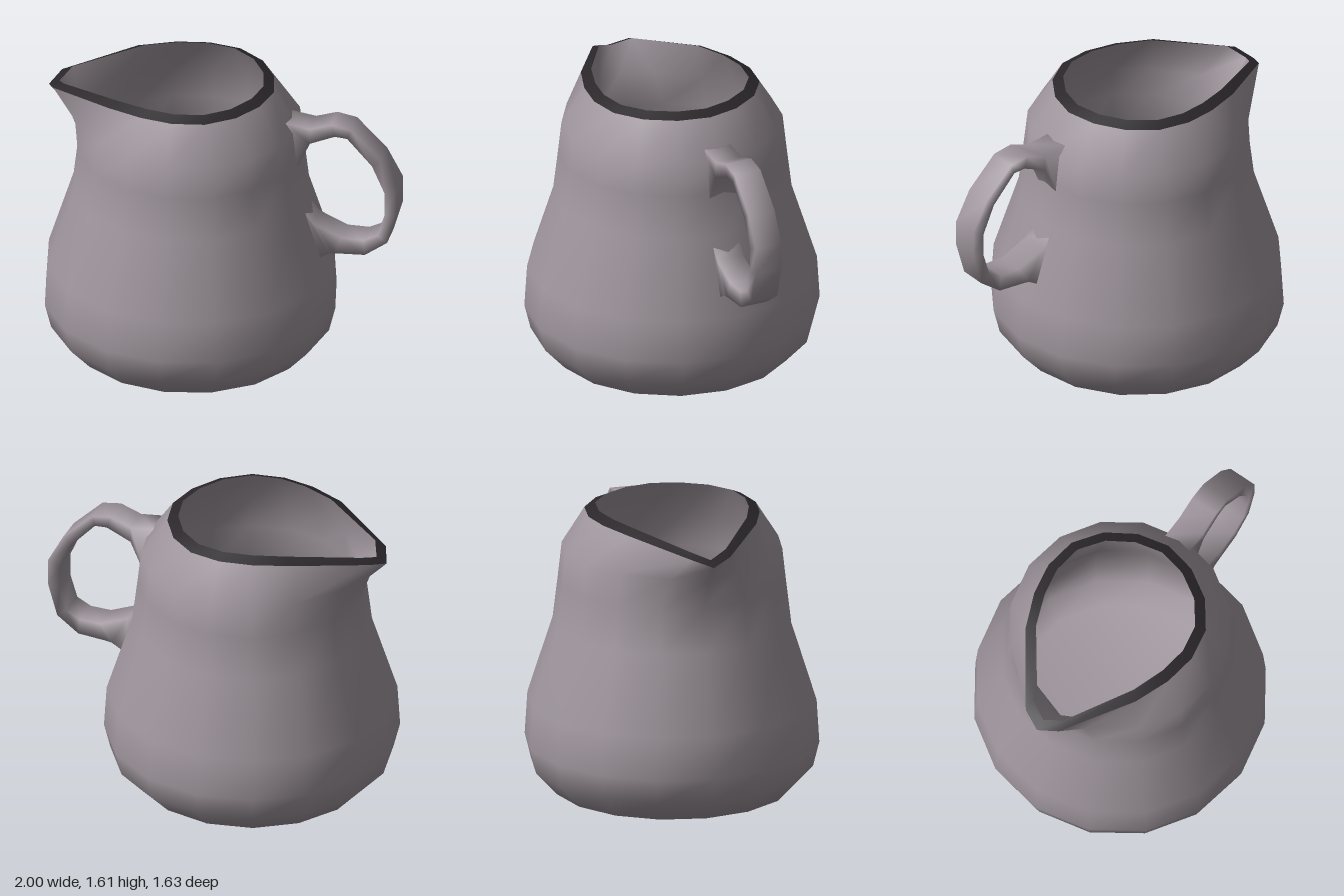
import * as THREE from 'three';

const SIDES = 16;
const CX = -0.18; // axis of the jug body

// Skin a list of equal-length closed rings of points
function loft(rings) {
  const n = rings[0].length;
  const index = [];
  for (let i = 0; i < rings.length - 1; i++) {
    for (let j = 0; j < n; j++) {
      const k = (j + 1) % n;
      const a = i * n + j, b = i * n + k;
      const c = a + n, d = b + n;
      index.push(a, c, b, b, c, d);
    }
  }
  const geo = new THREE.BufferGeometry();
  geo.setAttribute('position', new THREE.Float32BufferAttribute(rings.flat(2), 3));
  geo.setIndex(index);
  geo.computeVertexNormals();
  return geo;
}

function circle(r, y) {
  return Array.from({ length: SIDES }, (_, j) => {
    const a = (j / SIDES) * Math.PI * 2;
    return [CX + r * Math.cos(a), y, r * Math.sin(a)];
  });
}

// Mirror a half ring (right side round to the spout tip) across z = 0
function mirrorRing(half) {
  return [...half, ...half.slice(1, -1).reverse().map(([x, y, z]) => [x, y, -z])];
}

// Move a ring towards the axis by the wall thickness
function inset(ring, t, dy = 0) {
  return ring.map(([x, y, z]) => {
    const s = 1 - t / Math.hypot(x - CX, z);
    return [CX + (x - CX) * s, y + dy, z * s];
  });
}

export function createModel() {
  const group = new THREE.Group();
  const clay = new THREE.MeshStandardMaterial({ color: 0xa0979e });
  const dark = new THREE.MeshStandardMaterial({ color: 0x2a262a, side: THREE.DoubleSide });

  const add = (name, rings, material) => {
    const mesh = new THREE.Mesh(loft(rings), material);
    mesh.name = name;
    group.add(mesh);
  };

  // Body rings: radius, height
  const walls = [
    [0.66, 0], [0.78, 0.13], [0.815, 0.27], [0.80, 0.51], [0.66, 0.95], [0.63, 1.2], [0.61, 1.38],
  ].map(([r, y]) => circle(r, y));

  // Pull the shoulder ring out under the spout
  const shoulder = walls[walls.length - 1];
  shoulder[8] = [-0.88, 1.38, 0];
  shoulder[7] = [-0.79, 1.38, 0.19];
  shoulder[9] = [-0.79, 1.38, -0.19];

  // Drop-shaped mouth, dipping towards the spout tip
  const mouth = mirrorRing([
    [0.29, 1.585, 0], [0.25, 1.585, 0.18], [0.15, 1.585, 0.34], [0, 1.585, 0.45], [-0.18, 1.585, 0.48],
    [-0.36, 1.585, 0.45], [-0.56, 1.58, 0.37], [-0.93, 1.525, 0.11], [-0.98, 1.485, 0],
  ]);
  const innerMouth = inset(mouth, 0.06, 0.028);

  add('body', [circle(0, 0), ...walls, mouth], clay);
  add('rim', [mouth, innerMouth], dark);

  // Inside wall and floor
  const inner = walls.map((ring, i) => inset(ring, 0.06, i === 0 ? 0.06 : 0));
  add('interior', [innerMouth, ...inner.reverse(), circle(0, 0.06)], clay);

  // Handle stations: outer x, y and inner x, y, flared at both ends
  const stations = [
    [0.37, 1.44, 0.42, 1.13], [0.51, 1.42, 0.51, 1.33], [0.63, 1.46, 0.65, 1.39],
    [0.74, 1.44, 0.72, 1.385], [0.91, 1.27, 0.86, 1.23], [1, 1.1, 0.93, 1.07],
    [1, 0.95, 0.93, 0.93], [0.945, 0.76, 0.89, 0.80], [0.82, 0.67, 0.81, 0.76],
    [0.65, 0.66, 0.69, 0.76], [0.62, 0.655, 0.53, 0.83], [0.54, 0.61, 0.46, 0.92],
  ];
  const w = 0.08;
  add('handle', stations.map(([ox, oy, ix, iy]) =>
    [[ox, oy, w], [ox, oy, -w], [ix, iy, -w], [ix, iy, w]]), clay);

  return group;
}
